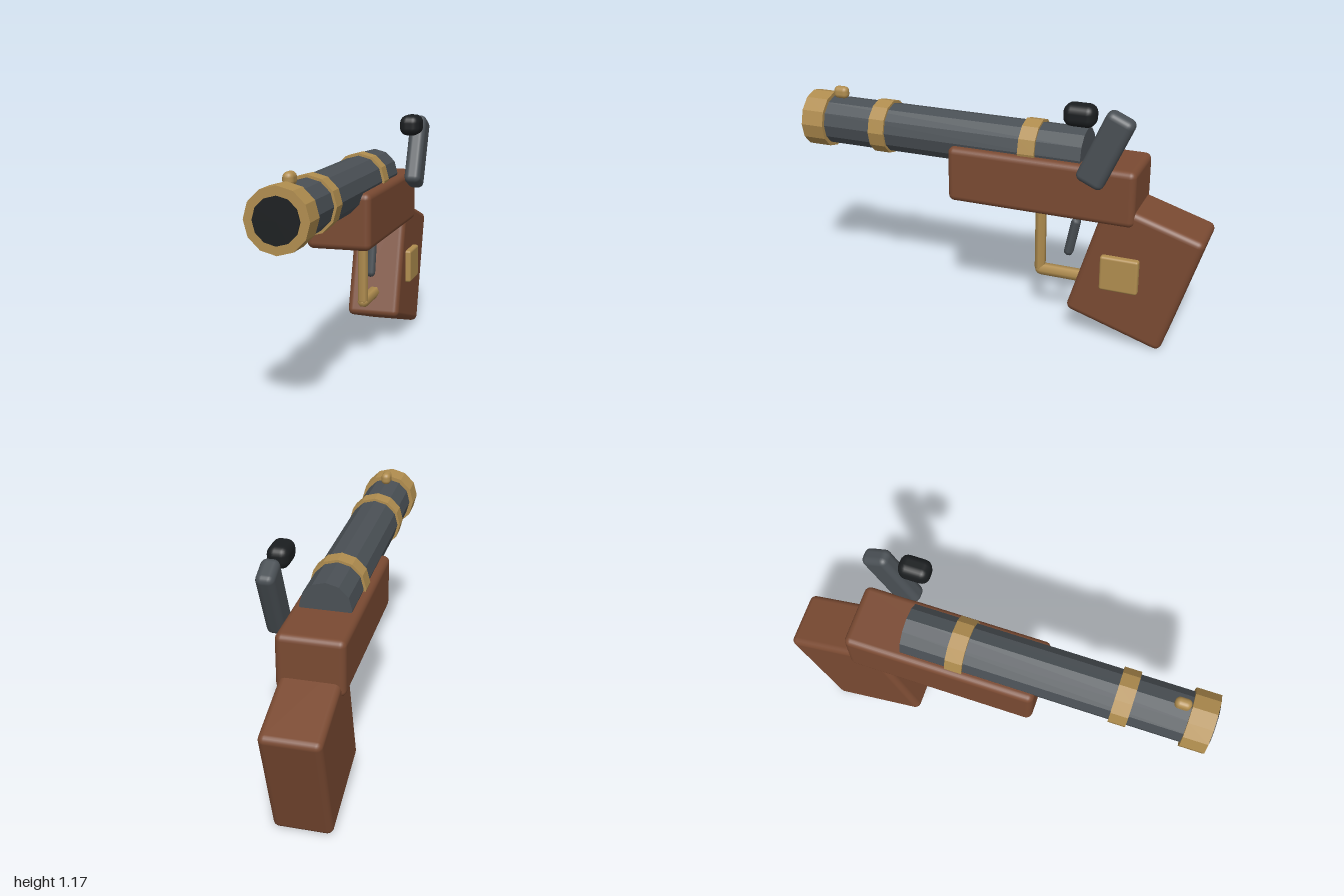
import * as THREE from 'three';
import { RoundedBoxGeometry } from 'three/addons/geometries/RoundedBoxGeometry.js';

const AXIS_X = -0.043; // centre plane of the gun body
const BORE_Y = 0.882;

export function createModel() {
  const model = new THREE.Group();
  model.name = 'blunderbuss';

  const paint = (color, flatShading = false) => new THREE.MeshStandardMaterial({ color, flatShading });
  const wood = paint(0x7a4a32);
  const brass = paint(0xb08d4f);
  const steel = paint(0x4a5055);
  const black = paint(0x1b1e20);
  const brassFacet = paint(0xb08d4f, true);
  const steelFacet = paint(0x4a5055, true);
  const blackFacet = paint(0x1b1e20, true);

  const add = (name, geometry, material, x, y, z, tilt = 0) => {
    const mesh = new THREE.Mesh(geometry, material);
    mesh.name = name;
    mesh.position.set(x, y, z);
    mesh.rotation.x = tilt;
    model.add(mesh);
    return mesh;
  };
  // Rounded block, tilted about the x axis
  const block = (name, material, size, radius, position, tilt = 0) =>
    add(name, new RoundedBoxGeometry(...size, 3, radius), material, ...position, tilt);
  // Twelve-sided cylinder along the bore, from z0 to z1
  const tube = (name, material, radius, z0, z1) =>
    add(name, new THREE.CylinderGeometry(radius, radius, z1 - z0, 12), material,
      AXIS_X, BORE_Y, (z0 + z1) / 2, Math.PI / 2);
  // Six-sided rod with round ends; length is the full length
  const rod = (name, material, radius, length, y, z, tilt = 0) =>
    add(name, new THREE.CapsuleGeometry(radius, length - 2 * radius, 3, 6), material, AXIS_X, y, z, tilt);

  // Barrel, muzzle and bands
  tube('barrel', steelFacet, 0.118, -0.42, 0.97);
  tube('muzzleRing', brassFacet, 0.137, 0.88, 0.993);
  tube('bore', blackFacet, 0.098, 0.9, 1.0);
  tube('frontBand', brassFacet, 0.13, 0.555, 0.635);
  tube('rearBand', brassFacet, 0.13, -0.205, -0.125);
  block('frontSight', brass, [0.048, 0.06, 0.075], 0.023, [AXIS_X, 1.023, 0.838]);

  // Wooden stock and grip
  block('stock', wood, [0.305, 0.267, 0.9], 0.03, [AXIS_X, 0.738, -0.235]);
  block('grip', wood, [0.27, 0.605, 0.48], 0.03, [AXIS_X, 0.357, -0.689], -0.3);
  block('gripPlate', brass, [0.04, 0.17, 0.18], 0.012, [0.1, 0.37, -0.63]);

  // Trigger and its guard
  rod('guardPost', brass, 0.027, 0.345, 0.412, -0.202);
  rod('guardBar', brass, 0.03, 0.28, 0.256, -0.318, Math.PI / 2);
  rod('trigger', steel, 0.024, 0.205, 0.453, -0.36, -0.2);

  // Side hammer with its dark striker
  block('hammer', steel, [0.083, 0.36, 0.134], 0.03, [0.144, 0.977, -0.555], -0.42);
  block('striker', black, [0.1, 0.1, 0.145], 0.038, [0.142, 1.124, -0.437]);

  return model;
}
